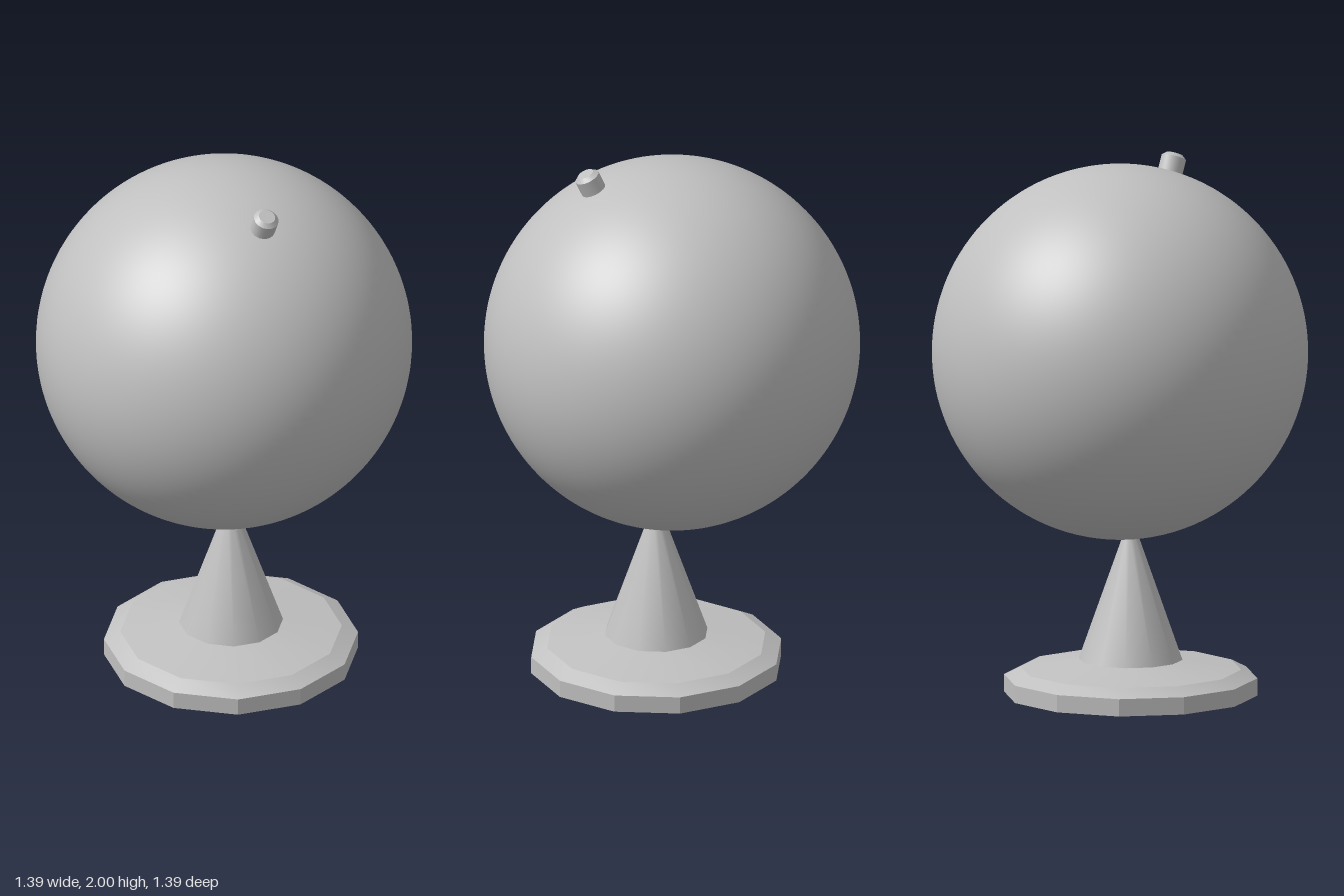
import * as THREE from 'three';
import { toCreasedNormals } from 'three/addons/utils/BufferGeometryUtils.js';

export function createModel() {
  const group = new THREE.Group();
  const grey = new THREE.MeshStandardMaterial({ color: 0xc0c0c0 });
  grey.name = 'plainGrey';

  const add = (name, geometry, parent) => {
    const mesh = new THREE.Mesh(geometry, grey);
    mesh.name = name;
    parent.add(mesh);
    return mesh;
  };
  const lathe = (points, sides) =>
    new THREE.LatheGeometry(points.map(([r, y]) => new THREE.Vector2(r, y)), sides);

  // Large smooth ball
  add('ball', new THREE.SphereGeometry(0.695, 96, 64), group).position.y = 1.292;

  // Stand: twelve-sided foot with a bevelled rim, shallow top and tapered stem
  const stand = new THREE.Group();
  stand.name = 'stand';
  stand.position.set(-0.007, 0, 0.058);
  group.add(stand);
  add('footRim', toCreasedNormals(lathe([[0, 0], [0.47, 0], [0.47, 0.065], [0.41, 0.096]], 12), 0.3), stand);
  add('footTop', lathe([[0.41, 0.096], [0.195, 0.13], [0.18, 0.13]], 12), stand);
  add('stem', lathe([[0.193, 0.128], [0.03, 0.59]], 12), stand);
  add('stemTip', lathe([[0.03, 0.59], [0, 0.592]], 12), stand);

  // Small chamfered peg, leaning outwards along the ball's radius
  const peg = add('peg', toCreasedNormals(
    lathe([[0, 0.64], [0.047, 0.64], [0.047, 0.753], [0.031, 0.767], [0, 0.767]], 16), 0.5), group);
  peg.position.set(-0.02, 1.292, 0);
  peg.rotation.x = THREE.MathUtils.degToRad(24.8);

  return group;
}
